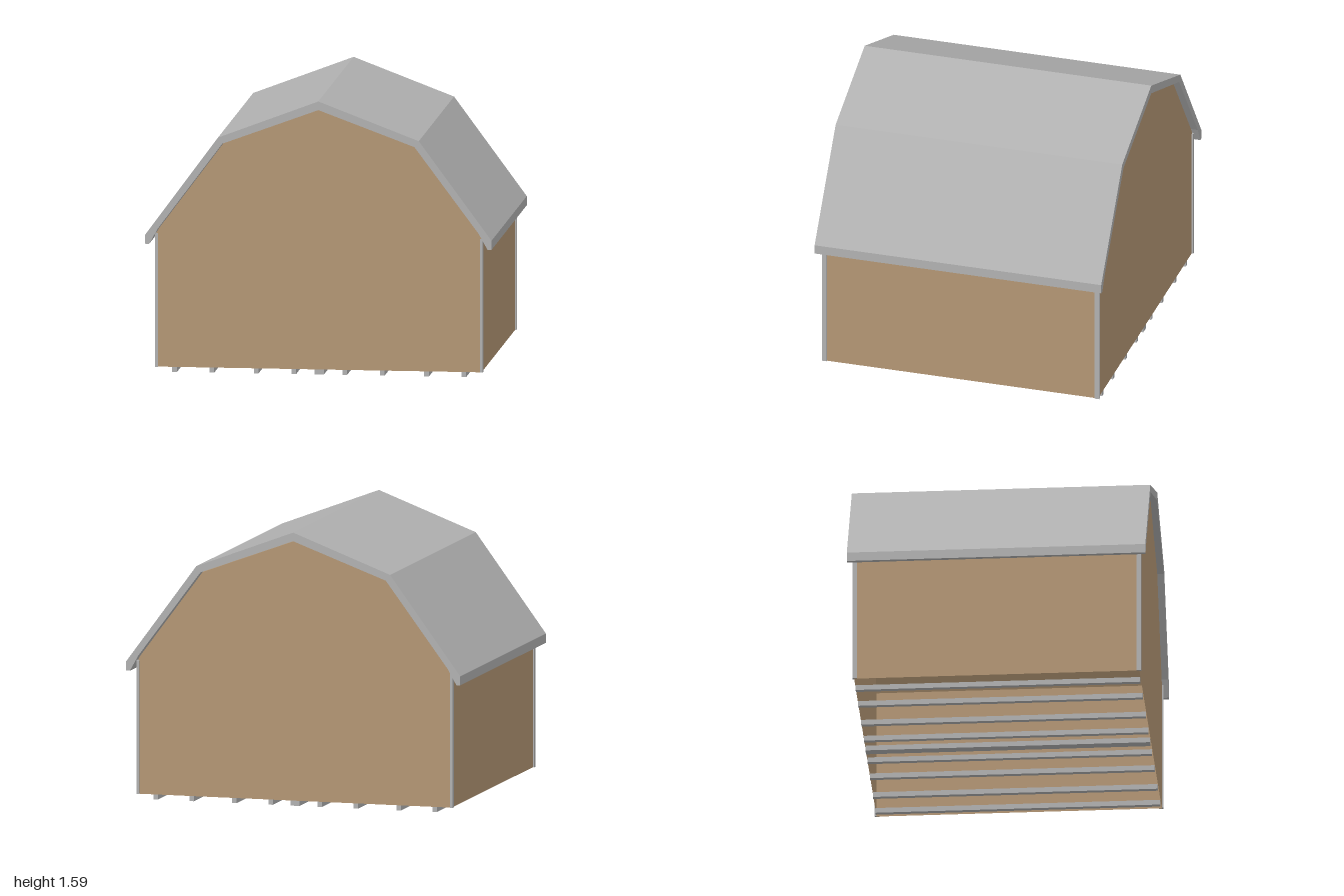
import * as THREE from 'three';

export function createModel() {
  const model = new THREE.Group();
  const wood = new THREE.MeshStandardMaterial({ color: 0xb39674, side: THREE.DoubleSide });
  wood.name = 'tan siding';
  const metal = new THREE.MeshStandardMaterial({ color: 0xb0b0b0 });
  metal.name = 'grey metal';

  const add = (name, geometry, material, parent = model) => {
    const mesh = new THREE.Mesh(geometry, material);
    mesh.name = name;
    parent.add(mesh);
    return mesh;
  };
  // Mirror a half outline (right side, bottom to ridge) into a full one
  const mirrored = half => [...half, ...half.slice(0, -1).reverse().map(([x, y]) => [-x, y])];
  const shapeOf = points => new THREE.Shape(points.map(([x, y]) => new THREE.Vector2(x, y)));

  // Gambrel roof: constant section with overhanging ends and eaves
  const outer = mirrored([[1, 0.747], [1, 0.8], [0.58, 1.37], [0, 1.59]]);
  const inner = mirrored([[0.977, 0.747], [0.926, 0.838], [0.555, 1.335], [0, 1.54]]);
  const roof = new THREE.ExtrudeGeometry(shapeOf([...outer, ...inner.reverse()]), { depth: 1.716, bevelEnabled: false });
  roof.translate(0, 0, -0.858);
  add('roof', roof, metal);

  // Hollow body, open underneath: two gables joined by wall and ceiling panels
  const wallZ = 0.82;
  const section = mirrored([[0.938, 0.03], [0.938, 0.81], [0.924, 0.834], [0.553, 1.332], [0, 1.537]]);
  const gable = new THREE.ShapeGeometry(shapeOf(section));
  add('frontGable', gable, wood).position.z = wallZ;
  const back = add('backGable', gable, wood);
  back.position.z = -wallZ;
  back.rotation.y = Math.PI;

  const corners = [];
  for (let i = 0; i < section.length - 1; i++) {
    const [ax, ay] = section[i], [bx, by] = section[i + 1];
    corners.push(
      ax, ay, wallZ, ax, ay, -wallZ, bx, by, -wallZ,
      ax, ay, wallZ, bx, by, -wallZ, bx, by, wallZ);
  }
  const shell = new THREE.BufferGeometry();
  shell.setAttribute('position', new THREE.Float32BufferAttribute(corners, 3));
  shell.computeVertexNormals();
  add('wallsAndCeiling', shell, wood);

  // L-shaped corner trims, outlined in x and -z
  const trim = new THREE.ExtrudeGeometry(shapeOf([
    [0.93, -0.83], [0.946, -0.83], [0.946, -0.803],
    [0.939, -0.803], [0.939, -0.821], [0.93, -0.821],
  ]), { depth: 0.775, bevelEnabled: false });
  trim.rotateX(-Math.PI / 2);
  trim.translate(0, 0.03, 0);
  for (const sx of [1, -1]) {
    for (const sz of [1, -1]) {
      add('cornerTrim', trim, metal).scale.set(sx, 1, sz);
    }
  }

  // Skids running front to back, doubled in the middle
  const skids = new THREE.Group();
  skids.name = 'skids';
  model.add(skids);
  const skid = new THREE.BoxGeometry(0.027, 0.03, 1.636);
  for (const x of [0.0135, 0.147, 0.364, 0.62, 0.835]) {
    for (const side of [1, -1]) {
      add('skid', skid, metal, skids).position.set(x * side, 0.015, 0);
    }
  }

  return model;
}
